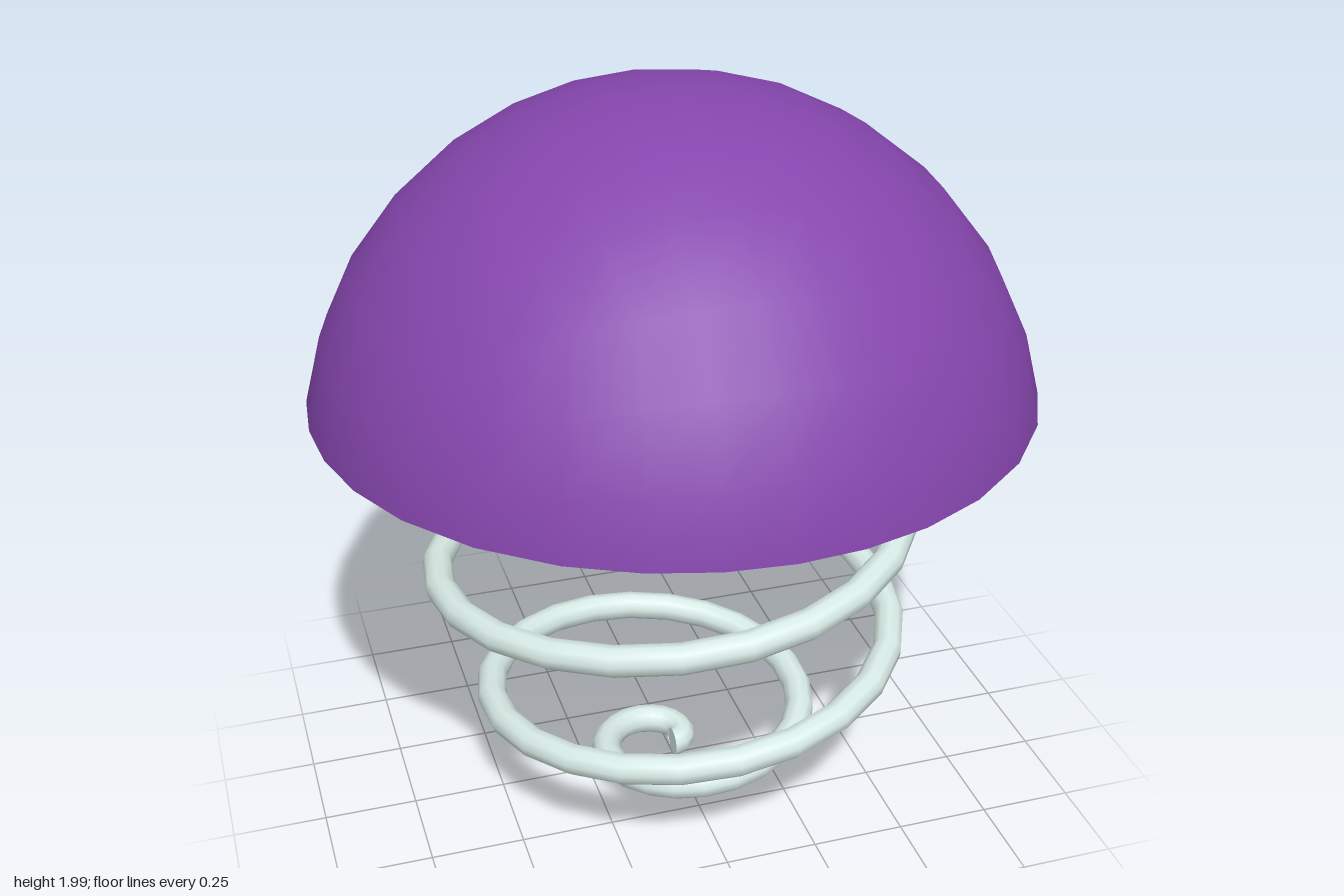
import * as THREE from 'three';

const DOME_R = 0.952, DOME_Y = 1.048, CUT_Y = 1.205;
const COIL_R = 0.64, COIL_Y = 0.69, WIRE_R = 0.04, TURNS = 5;

// Spiral wound around a sphere from its bottom pole to its top pole
class SphereSpiral extends THREE.Curve {
  getPoint(t, target = new THREE.Vector3()) {
    const phi = t * Math.PI, a = t * TURNS * Math.PI * 2;
    const r = COIL_R * Math.sin(phi);
    return target.set(r * Math.cos(a), COIL_Y - COIL_R * Math.cos(phi), -r * Math.sin(a));
  }
  // Even steps in angle, so small turns stay as fine as large ones
  getUtoTmapping(u) {
    return u;
  }
}

// Box rounded into a sphere, cut flat underneath
function domeGeometry() {
  const low = 0.25;
  const g = new THREE.BoxGeometry(2, 1 - low, 2, 8, 3, 8).translate(0, (1 + low) / 2, 0);
  const pos = g.attributes.position, nor = g.attributes.normal;
  const cut = CUT_Y - DOME_Y, cutR = Math.sqrt(DOME_R ** 2 - cut ** 2);
  const v = new THREE.Vector3(), n = new THREE.Vector3();
  for (let i = 0; i < pos.count; i++) {
    const x = pos.getX(i), y = pos.getY(i), z = pos.getZ(i);
    const x2 = x * x, y2 = y * y, z2 = z * z;
    if (y < low + 1e-4) {
      // square base becomes a round disc
      v.set(x * Math.sqrt(1 - z2 / 2) * cutR, cut, z * Math.sqrt(1 - x2 / 2) * cutR);
    } else {
      v.set(
        x * Math.sqrt(1 - y2 / 2 - z2 / 2 + y2 * z2 / 3),
        y * Math.sqrt(1 - x2 / 2 - z2 / 2 + x2 * z2 / 3),
        z * Math.sqrt(1 - x2 / 2 - y2 / 2 + x2 * y2 / 3)
      ).multiplyScalar(DOME_R);
      v.y = Math.max(v.y, cut + 0.005);
    }
    pos.setXYZ(i, v.x, v.y, v.z);
    // smooth over the dome, flat on the base
    if (nor.getY(i) > -0.5) {
      n.copy(v).normalize();
      nor.setXYZ(i, n.x, n.y, n.z);
    }
  }
  return g;
}

export function createModel() {
  const group = new THREE.Group();
  const purple = new THREE.MeshStandardMaterial({ color: 0x8546ad });
  const pale = new THREE.MeshStandardMaterial({ color: 0xd8ebe6 });
  const add = (name, geometry, material) => {
    const mesh = new THREE.Mesh(geometry, material);
    mesh.name = name;
    group.add(mesh);
    return mesh;
  };

  // Domed cap
  add('dome', domeGeometry(), purple).position.y = DOME_Y;

  // Coiled spring, its top turns hidden in the dome
  add('spring', new THREE.TubeGeometry(new SphereSpiral(), TURNS * 24, WIRE_R, 10), pale);

  // Flat end closing the wire at the bottom
  const end = add('springEnd', new THREE.CircleGeometry(WIRE_R, 10), pale);
  end.rotation.y = -Math.PI / 2;
  end.position.y = COIL_Y - COIL_R;

  return group;
}
